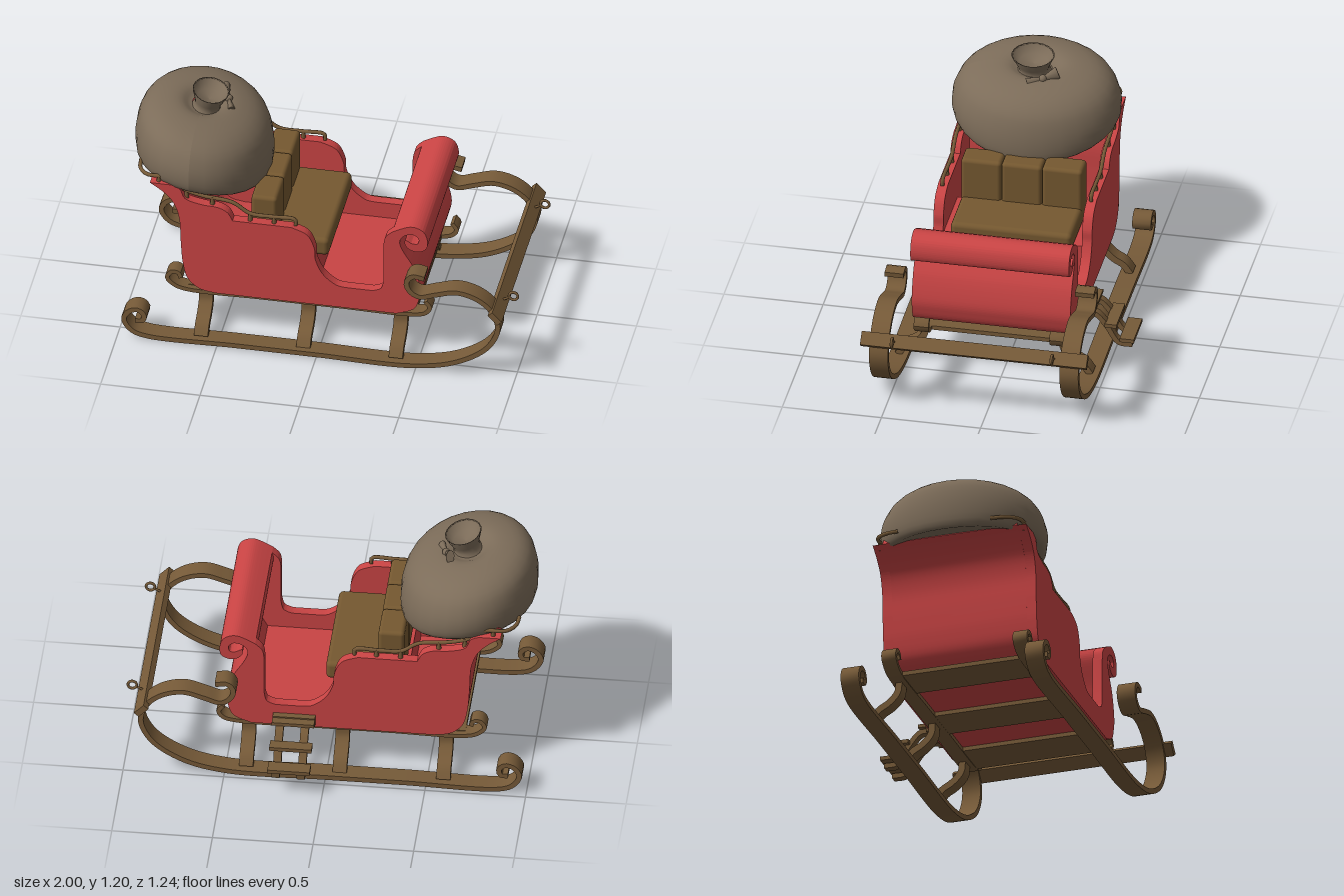
import * as THREE from 'three';
import { toCreasedNormals } from 'three/addons/utils/BufferGeometryUtils.js';
import { RoundedBoxGeometry } from 'three/addons/geometries/RoundedBoxGeometry.js';

const mat = (color, side = THREE.FrontSide) => new THREE.MeshStandardMaterial({ color, side });
const RED = mat(0xc94444), WOOD = mat(0x765a38), SEAT = mat(0x755830);
const CLOTH = mat(0x7c6c59, THREE.DoubleSide);
const V2 = (pts) => pts.map(([x, y]) => new THREE.Vector2(x, y));
const V3 = (pts) => pts.map(([x, y, z = 0]) => new THREE.Vector3(x, y, z));

export function createModel() {
  const root = new THREE.Group();
  const sleigh = new THREE.Group();
  sleigh.name = 'sleigh';
  sleigh.position.z = 0.05;
  root.add(sleigh);

  function add(name, geometry, material, x = 0, y = 0, z = 0, parent = sleigh) {
    const m = new THREE.Mesh(geometry, material);
    m.name = name;
    m.position.set(x, y, z);
    parent.add(m);
    return m;
  }
  const box = (name, material, sx, sy, sz, x, y, z) =>
    add(name, new THREE.BoxGeometry(sx, sy, sz), material, x, y, z);

  // extrude a shape in xy, centred on z
  function slab(shape, width) {
    const g = new THREE.ExtrudeGeometry(shape, { depth: width, bevelEnabled: false, curveSegments: 40 });
    g.translate(0, 0, -width / 2);
    return toCreasedNormals(g, 0.6);
  }

  // bent strip: a path thickened from offset a to offset b
  function strip(pts, width, a, b, n = 30) {
    const curve = new THREE.CatmullRomCurve3(V3(pts), false, 'centripetal');
    const left = [], right = [];
    for (let i = 0; i <= n; i++) {
      const p = curve.getPointAt(i / n), t = curve.getTangentAt(i / n);
      left.push(new THREE.Vector2(p.x - t.y * a, p.y + t.x * a));
      right.unshift(new THREE.Vector2(p.x - t.y * b, p.y + t.x * b));
    }
    return slab(new THREE.Shape([...left, ...right]), width);
  }
  // strip whose path lies in the zy plane, extruded along x
  const crossStrip = (pts, width, t, n) => strip(pts, width, -t / 2, t / 2, n).rotateY(-Math.PI / 2);

  // ---- Body ----
  const backEdge = [[-0.86, 0.85], [-0.79, 0.80], [-0.74, 0.74], [-0.712, 0.65], [-0.705, 0.52], [-0.695, 0.395],
    [-0.67, 0.30], [-0.61, 0.245], [-0.53, 0.228]];
  const frontEdge = [[0.465, 0.265], [0.495, 0.33], [0.50, 0.40], [0.47, 0.51], [0.415, 0.605], [0.397, 0.66],
    [0.42, 0.70], [0.465, 0.712], [0.492, 0.69], [0.485, 0.66], [0.455, 0.66]];
  const scrollTop = [[0.425, 0.675], [0.425, 0.645], [0.45, 0.62], [0.49, 0.613], [0.53, 0.635], [0.536, 0.69],
    [0.512, 0.74], [0.45, 0.758], [0.36, 0.717]];

  const side = new THREE.Shape();
  side.moveTo(-0.86, 0.85);
  side.splineThru(V2(backEdge.slice(1)));
  side.lineTo(0.38, 0.228);
  side.splineThru(V2(frontEdge));
  side.splineThru(V2(scrollTop));
  side.splineThru(V2([[0.325, 0.68], [0.315, 0.63]]));
  side.lineTo(0.315, 0.415);
  side.splineThru(V2([[0.302, 0.37], [0.26, 0.35]]));
  side.lineTo(0.13, 0.35);
  side.splineThru(V2([[0.075, 0.36], [0.01, 0.415], [-0.027, 0.495], [-0.033, 0.565], [-0.07, 0.64], [-0.15, 0.675]]));
  side.lineTo(-0.445, 0.675);
  side.splineThru(V2([[-0.47, 0.72], [-0.52, 0.745], [-0.60, 0.752], [-0.68, 0.775], [-0.71, 0.83], [-0.75, 0.85]]));
  side.closePath();
  for (const s of [-1, 1]) add('sidePanel', slab(side, 0.05), RED, 0, 0, s * 0.375);

  const front = new THREE.Shape();
  front.moveTo(0.38, 0.228);
  front.splineThru(V2(frontEdge));
  front.splineThru(V2(scrollTop));
  front.splineThru(V2([[0.355, 0.66], [0.41, 0.52], [0.44, 0.39], [0.38, 0.26]]));
  front.closePath();
  add('frontScroll', slab(front, 0.70), RED);
  add('rearPanel', strip(backEdge, 0.70, 0, 0.035), RED);
  box('floor', RED, 0.94, 0.035, 0.70, -0.075, 0.2455, 0);

  // ---- Seat ----
  box('seatBase', RED, 0.34, 0.22, 0.70, -0.21, 0.355, 0);
  add('seatCushion', new RoundedBoxGeometry(0.33, 0.10, 0.61, 3, 0.025), SEAT, -0.145, 0.505, 0);
  for (const i of [-1, 0, 1])
    add('backCushion', new RoundedBoxGeometry(0.13, 0.28, 0.203, 3, 0.02), SEAT, -0.305, 0.63, i * 0.204);

  // ---- Runners, under-frame and legs ----
  const runner = [[-0.91, 0.10], [-0.875, 0.10], [-0.865, 0.135], [-0.895, 0.163], [-0.94, 0.15], [-0.967, 0.10],
    [-0.93, 0.04], [-0.86, 0.014], [-0.4, 0.014], [0, 0.014], [0.49, 0.014], [0.705, 0.065], [0.86, 0.17],
    [0.915, 0.29], [0.885, 0.39], [0.81, 0.455], [0.705, 0.482], [0.60, 0.455], [0.52, 0.432], [0.472, 0.46],
    [0.455, 0.51], [0.485, 0.55], [0.545, 0.543]];
  const rail = [[-0.71, 0.28], [-0.72, 0.308], [-0.755, 0.312], [-0.778, 0.275], [-0.74, 0.235], [-0.68, 0.217],
    [-0.3, 0.217], [0.1, 0.217], [0.45, 0.217], [0.52, 0.233], [0.545, 0.268], [0.522, 0.302]];
  for (const s of [-1, 1]) {
    add('runner', strip(runner, 0.095, -0.013, 0.013, 170), WOOD, 0, 0, s * 0.48);
    add('innerRunner', strip(rail, 0.075, -0.011, 0.011, 110), WOOD, 0, 0, s * 0.342);
    for (const x of [-0.585, -0.07, 0.395]) {
      const leg = [[0.345, 0.215], [0.352, 0.15], [0.40, 0.098], [0.45, 0.068], [0.485, 0.02]];
      add('leg', crossStrip(leg.map(([z, y]) => [s * z, y]), 0.07, 0.034, 14), WOOD, x, 0, 0);
    }
  }
  for (const [x, w] of [[-0.57, 0.22], [-0.07, 0.22], [0.36, 0.22]])
    box('underBoard', WOOD, w, 0.022, 0.70, x, 0.218, 0);

  // ---- Crossbar with rings ----
  box('crossbar', WOOD, 0.032, 0.07, 1.14, 0.908, 0.382, 0).rotation.z = 0.75;
  for (const s of [-1, 1]) {
    add('ring', new THREE.TorusGeometry(0.022, 0.007, 8, 20), WOOD, 0.97, 0.415, s * 0.403);
    const stem = add('ringStem', new THREE.CylinderGeometry(0.006, 0.006, 0.05, 8), WOOD, 0.932, 0.396, s * 0.403);
    stem.rotation.z = -1.1;
  }

  // ---- Handrails ----
  for (const s of [-1, 1]) {
    const path = [[-0.13, 0.675, 0.375], [-0.135, 0.708, 0.375], [-0.25, 0.71, 0.375], [-0.36, 0.715, 0.375],
      [-0.45, 0.77, 0.375], [-0.60, 0.79, 0.375], [-0.70, 0.82, 0.375], [-0.77, 0.875, 0.375], [-0.88, 0.875, 0.365],
      [-0.925, 0.872, 0.31], [-0.935, 0.872, 0.24]].map(([x, y, z]) => [x, y, z * s]);
    const curve = new THREE.CatmullRomCurve3(V3(path), false, 'centripetal');
    add('handrail', new THREE.TubeGeometry(curve, 70, 0.01, 8), WOOD);
    for (const [x, y] of [[-0.24, 0.69], [-0.36, 0.695], [-0.55, 0.765], [-0.68, 0.795], [-0.82, 0.855]])
      add('handrailPost', new THREE.CylinderGeometry(0.009, 0.013, 0.05, 8), WOOD, x, y, s * 0.375);
  }

  // ---- Boarding step, on the right side only ----
  for (const x of [0.105, 0.23])
    add('stepBracket', crossStrip([[-0.40, 0.26], [-0.47, 0.262], [-0.53, 0.20], [-0.59, 0.112], [-0.66, 0.106]], 0.04, 0.026, 20), WOOD, x);
  box('stepMount', WOOD, 0.21, 0.05, 0.035, 0.165, 0.275, -0.415);
  box('stepBoard', WOOD, 0.21, 0.018, 0.07, 0.165, 0.284, -0.44);
  box('stepBoard', WOOD, 0.21, 0.02, 0.06, 0.165, 0.212, -0.555);
  box('stepBoard', WOOD, 0.21, 0.02, 0.072, 0.165, 0.137, -0.636);

  // ---- Sack: lathe squashed to an oval, tilted, with its rim drooping at the ends ----
  const sackProfile = [[0, 0.83], [0.5, 0.84], [0.8, 0.835], [0.93, 0.825], [0.99, 0.86], [1, 0.92], [0.965, 0.98],
    [0.88, 1.04], [0.72, 1.085], [0.5, 1.108], [0.34, 1.108], [0.24, 1.09], [0.18, 1.085]];
  const sack = new THREE.LatheGeometry(new THREE.SplineCurve(V2(sackProfile)).getPoints(30), 28);
  const p = sack.attributes.position;
  for (let i = 0; i < p.count; i++) {
    const x = p.getX(i), z = p.getZ(i), y = p.getY(i);
    const droop = 0.05 * x * x * THREE.MathUtils.clamp((1.0 - y) / 0.15, 0, 1);
    p.setXYZ(i, x * 0.34, y - 0.055 * x - droop, z * 0.423);
  }
  sack.computeVertexNormals();
  add('sack', sack, CLOTH, -0.66, 0, 0.008);
  const lower = add('sackBottom', new THREE.SphereGeometry(1, 24, 16), CLOTH, -0.55, 0.80, 0);
  lower.scale.set(0.18, 0.12, 0.31);

  const neck = new THREE.LatheGeometry(V2([[0.09, 0], [0.075, 0.02], [0.083, 0.05], [0.108, 0.105], [0.098, 0.1],
    [0.07, 0.06], [0, 0.05]]), 20);
  const collar = add('sackNeck', neck, CLOTH, -0.648, 1.075, 0.02);
  collar.scale.x = 0.85;
  collar.rotation.z = -0.2;

  // ---- Bow ----
  const bow = new THREE.Group();
  bow.name = 'bow';
  bow.position.set(-0.55, 1.095, -0.045);
  bow.rotation.set(0.35, 0.35, 0);
  sleigh.add(bow);
  add('bowKnot', new THREE.SphereGeometry(0.02, 12, 8), CLOTH, 0, 0, 0, bow);
  for (const s of [-1, 1]) {
    const lobe = add('bowLoop', new THREE.CylinderGeometry(0.036, 0.012, 0.07, 10), CLOTH, 0, 0, s * 0.045, bow);
    lobe.rotation.x = s * Math.PI / 2;
    lobe.scale.x = 0.6;
    const tail = add('bowTail', new THREE.BoxGeometry(0.006, 0.07, 0.02), CLOTH, 0.025, -0.03, s * 0.016, bow);
    tail.rotation.set(-s * 0.4, 0, 0.8);
  }
  return root;
}
